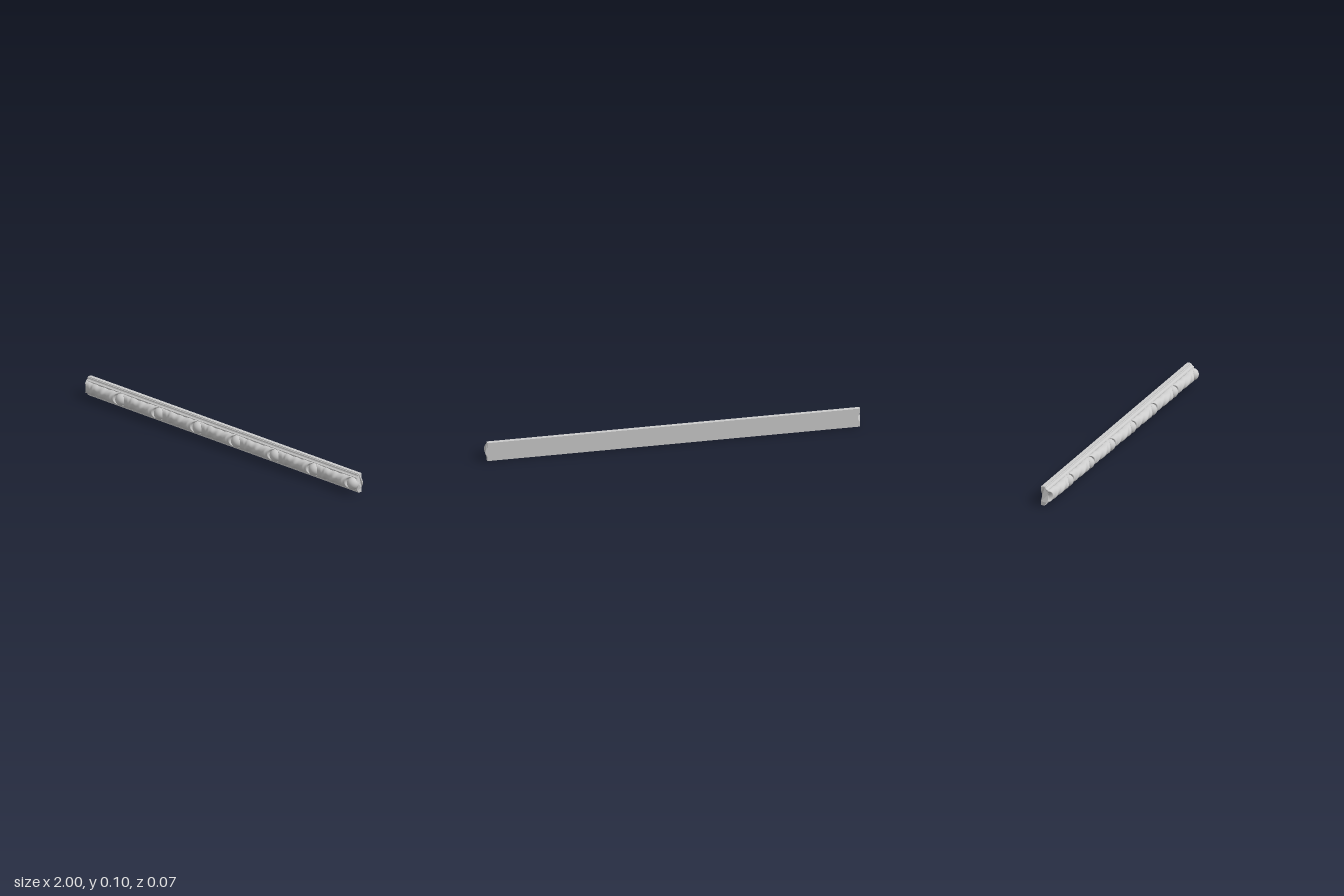
import * as THREE from 'three';

const MID = 0.0525;      // height of the moulding's centre line
const R = 0.033;         // bead radius
const PITCH = 0.284;     // distance between beads
const LAST = 0.967;      // x of the last bead
const COUNT = 7;

const material = new THREE.MeshStandardMaterial({ color: 0xcccccc, side: THREE.DoubleSide });
const smooth = (a, b, x) => THREE.MathUtils.smoothstep(x, a, b);
// half chord of the bead's circle at height y
const chord = (y) => Math.sqrt(Math.max(0, R * R - (y - MID) ** 2));

// Backing strip: coved profile, with a socket at one end and a matching tongue at the other
function makeBacking() {
  const pts = [];
  const half = [[0, -0.016], [0.003, -0.0165], [0.004, -0.0135]];
  for (let i = 0; i <= 6; i++) {
    const a = (i / 6) * Math.PI / 2;
    half.push([0.005 + 0.011 * Math.sin(a), -0.001 - 0.0115 * Math.cos(a)]);
  }
  half.forEach(([y, z]) => pts.push([y, z]));
  for (let i = 0; i <= 20; i++) pts.push([0.018 + 0.069 * i / 20, 0]);
  half.slice().reverse().forEach(([y, z]) => pts.push([2 * MID - y, z]));
  for (let i = 0; i <= 24; i++) pts.push([2 * MID * (1 - i / 24), -0.037]);
  const shape = new THREE.Shape(pts.map(([y, z]) => new THREE.Vector2(-z, y)));
  const geo = new THREE.ExtrudeGeometry(shape, { depth: 1, bevelEnabled: false });
  geo.rotateY(Math.PI / 2);
  const p = geo.attributes.position;
  for (let i = 0; i < p.count; i++) {
    const c = chord(p.getY(i));
    const socket = Math.max(-1, LAST - COUNT * PITCH + c);
    const tongue = Math.max(0.99, LAST + c);
    p.setX(i, p.getX(i) > 0.5 ? tongue : socket);
  }
  geo.computeVertexNormals();
  const mesh = new THREE.Mesh(geo, material);
  mesh.name = 'backingStrip';
  return mesh;
}

// Carved leaf between two beads: a half-round sheath with slanting flutes and hollow ends
function makeLeaf(from, to) {
  const geo = new THREE.PlaneGeometry(1, 1, 90, 36);
  const p = geo.attributes.position;
  for (let i = 0; i < p.count; i++) {
    const u = p.getX(i) + 0.5;
    const v = p.getY(i) * 2;                       // -1 bottom edge, 1 top edge
    const a = v * Math.PI / 2;
    const body = smooth(0.08, 0.25, u) * (1 - smooth(0.88, 1, u));
    // edges swell into a collar at the ends and scallop along the leaf
    const width = 0.0345 - 0.005 * Math.sin(Math.PI * u) + 0.0015 * body * Math.sin(u * 26 + (v > 0 ? 0 : 2));
    const y = MID + width * Math.sin(a);
    // depth rises from the collar towards the tip
    const rise = 0.025 + 0.009 * smooth(0.0, 0.6, u) - 0.007 * smooth(0.85, 1, u);
    const ends = Math.pow(smooth(0, 0.035, u), 0.6) * (1 - smooth(0.965, 1, u));
    const slant = u * 24 - 3.2 * v + 1.2 * Math.sin(u * 6);
    const flute = body * (0.0026 * Math.sin(slant) + 0.001 * Math.sin(slant * 2 + v * 5));
    const z = Math.cos(a) * (rise + flute) * ends - 0.001;
    const x0 = Math.max(-1, from + chord(y) + 0.001);
    const x1 = to - Math.max(chord(y), 0.012) + 0.001;
    p.setXYZ(i, x0 + (x1 - x0) * u, y, z);
  }
  geo.computeVertexNormals();
  const mesh = new THREE.Mesh(geo, material);
  mesh.name = 'carvedLeaf';
  return mesh;
}

export function createModel() {
  const model = new THREE.Group();
  model.name = 'carvedMoulding';
  model.add(makeBacking());

  // Beads, each preceded by a leaf
  const beadGeo = new THREE.SphereGeometry(R, 32, 24);
  for (let i = 0; i < COUNT; i++) {
    const x = LAST - (COUNT - 1 - i) * PITCH;
    const bead = new THREE.Mesh(beadGeo, material);
    bead.name = 'bead';
    bead.position.set(x, MID, 0.002);
    model.add(bead, makeLeaf(x - PITCH, x));
  }
  return model;
}
